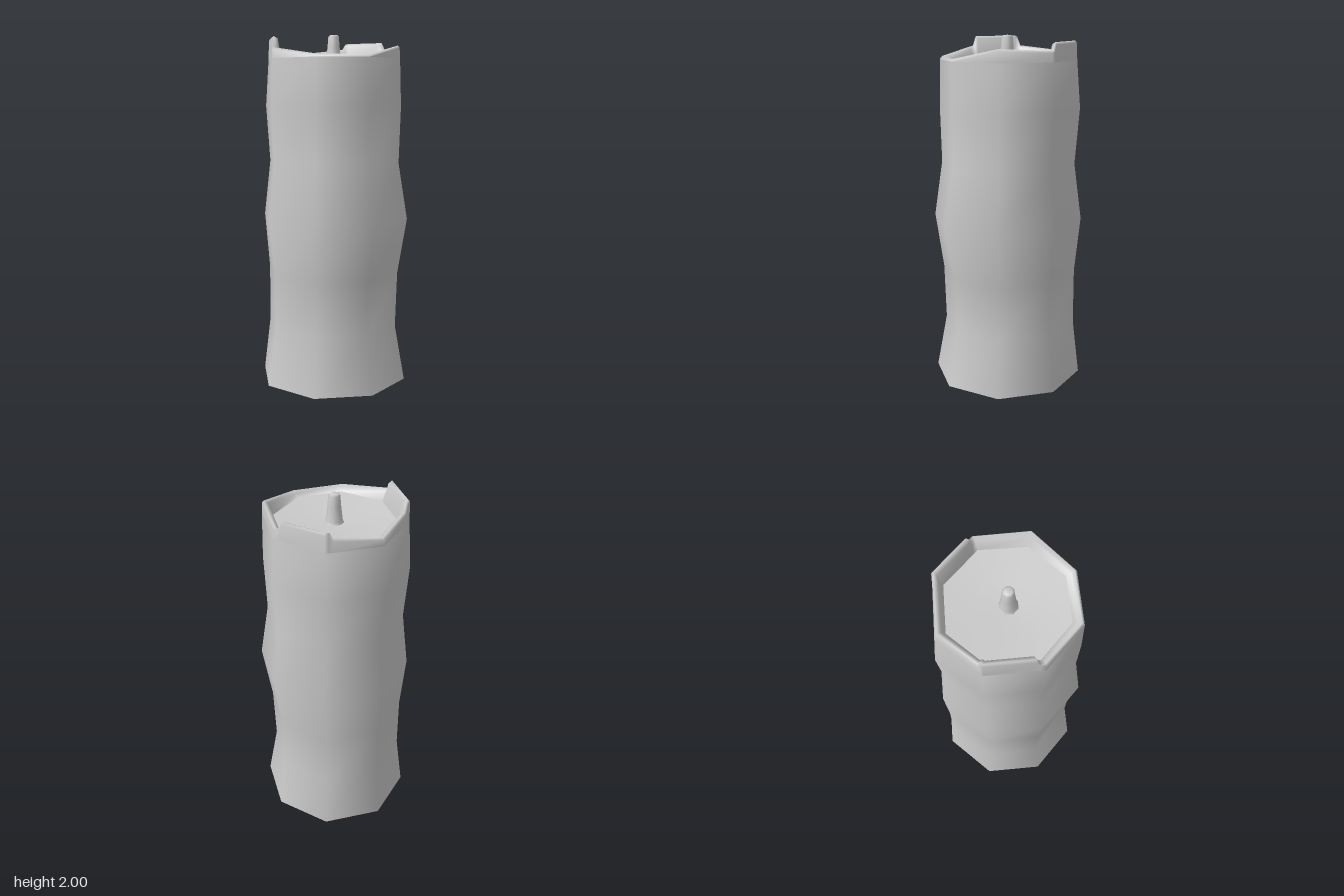
import * as THREE from 'three';

const mat = new THREE.MeshStandardMaterial({ color: 0xcccccc });

// Corner k of an eight-sided ring at radius r; k may be fractional (point on the straight edge)
function corner(radii, k) {
  const at = (i) => {
    const a = (i * Math.PI) / 4, r = radii[i % 8];
    return new THREE.Vector2(Math.cos(a) * r, Math.sin(a) * r);
  };
  const i = Math.floor(k);
  return at(i).lerp(at(i + 1), k - i);
}

// Eight radii from those on the axes: +x, +z, -x, -z
function octagon(axes) {
  const out = [];
  axes.forEach((r, i) => out.push(r, (r + axes[(i + 1) % 4]) / 2));
  return out;
}

// Smooth closed skin through rings of equal point count, listed bottom/outside first
function loft(name, rings) {
  const n = rings[0].length, index = [];
  for (let j = 0; j < rings.length - 1; j++) {
    for (let i = 0; i < n; i++) {
      const a = j * n + i, b = j * n + ((i + 1) % n), c = a + n, d = b + n;
      index.push(a, c, b, b, c, d);
    }
  }
  const g = new THREE.BufferGeometry().setFromPoints(rings.flat());
  g.setIndex(index);
  g.computeVertexNormals();
  const mesh = new THREE.Mesh(g, mat);
  mesh.name = name;
  return mesh;
}

export function createModel() {
  const model = new THREE.Group();
  model.name = 'candle';
  const ks = [0, 1, 2, 3, 4, 5, 6, 7];

  // Uneven wax body: height, then radius towards +x, +z, -x, -z
  const rows = [
    [0, 0.43, 0.43, 0.435, 0.44],
    [0.32, 0.385, 0.36, 0.385, 0.41],
    [0.64, 0.385, 0.38, 0.385, 0.41],
    [0.96, 0.43, 0.44, 0.42, 0.43],
    [1.28, 0.385, 0.38, 0.385, 0.39],
    [1.6, 0.405, 0.38, 0.4, 0.42],
    [1.865, 0.388, 0.38, 0.388, 0.395],
  ];
  const ring = (radii, y, list) => list.map((k) => {
    const p = corner(radii, k);
    return new THREE.Vector3(p.x, typeof y === 'function' ? y(k) : y, p.y);
  });
  const bodyRings = rows.map(([y, ...axes]) => ring(octagon(axes), y, ks));
  model.add(loft('waxBody', bodyRings));

  // Flat underside
  const foot = bodyRings[0].map((p) => p.clone());
  model.add(loft('underside', [foot.map(() => new THREE.Vector3()), foot]));

  // Melted rim: [corner position, crest height], with two raised lumps
  const crest = [
    [0, 1.925], [1, 1.937], [2, 1.88], [3, 1.882], [4, 1.922], [4.1, 1.93],
    [4.16, 1.985], [5, 1.987], [5.06, 1.98], [5.13, 1.93], [6, 1.907],
    [6.86, 1.935], [6.93, 1.968], [7, 1.97], [7.84, 1.968], [7.91, 1.928],
  ];
  const rimKs = crest.map((c) => c[0]);
  const height = new Map(crest);
  const top = (drop) => (k) => height.get(k) - drop;
  const floorEdge = octagon([0.33, 0.32, 0.33, 0.338]);
  model.add(loft('meltedRim', [
    ring(octagon(rows[6].slice(1)), 1.865, rimKs),
    ring(octagon([0.384, 0.377, 0.385, 0.39]), top(0.012), rimKs),
    ring(octagon([0.374, 0.368, 0.374, 0.38]), top(0), rimKs),
    ring(octagon([0.35, 0.345, 0.35, 0.358]), top(0.012), rimKs),
    ring(floorEdge, 1.858, rimKs),
  ]));

  // Shallow dished pool around the wick
  const scaled = (s, y) => ring(floorEdge.map((r) => r * s), y, ks);
  model.add(loft('waxPool', [scaled(1, 1.858), scaled(0.55, 1.845), scaled(0.1, 1.838)]));

  // Tapered wick with a flared foot and rounded tip
  const profile = [[0.055, 1.835], [0.045, 1.85], [0.036, 1.93], [0.031, 1.99], [0.022, 1.999], [0, 2]];
  const wick = new THREE.Mesh(
    new THREE.LatheGeometry(profile.map(([r, y]) => new THREE.Vector2(r, y)), 8), mat);
  wick.name = 'wick';
  model.add(wick);

  return model;
}
